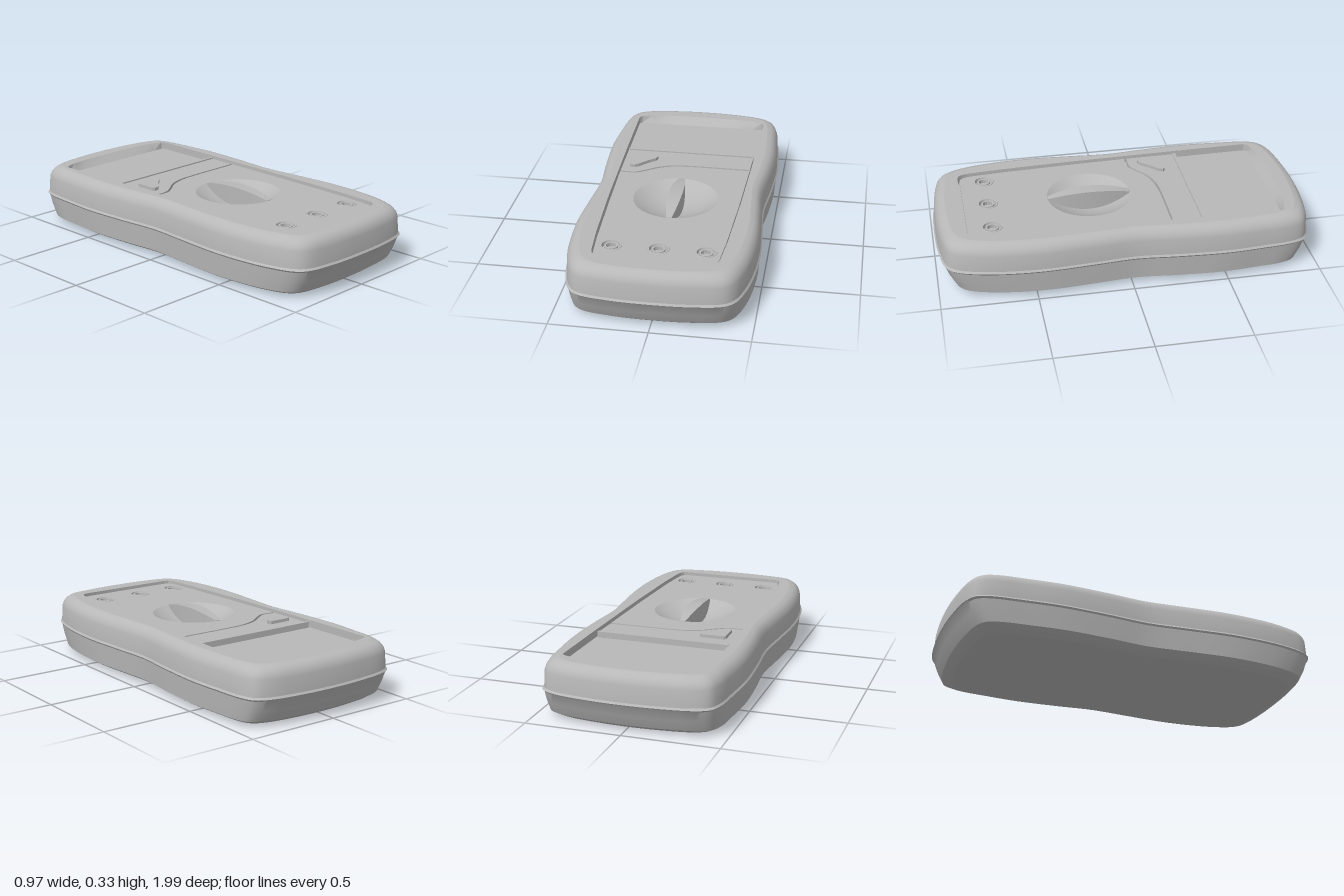
import * as THREE from 'three';
import { toCreasedNormals } from 'three/addons/utils/BufferGeometryUtils.js';

const TOP = 0.31, PANEL = 0.295, FLOOR = 0.27, KNOB_Z = 0.155, KNOB_R = 0.225;

// Right-hand half of an outline, back to front, completed by its mirror image
const mirror = (half) => [...half, ...half.slice(1, -1).reverse().map(([x, z]) => [-x, z])];

// Skin through closed rings of [x, y, z] points
function loft(rings) {
  const n = rings[0].length, index = [];
  for (let i = 0; i < rings.length - 1; i++) {
    for (let j = 0; j < n; j++) {
      const a = i * n + j, b = i * n + (j + 1) % n;
      index.push(a, a + n, b, b, a + n, b + n);
    }
  }
  const geo = new THREE.BufferGeometry();
  geo.setAttribute('position', new THREE.Float32BufferAttribute(rings.flat(2), 3));
  geo.setIndex(index);
  return toCreasedNormals(geo, 0.45);
}

// Shape lying in plan, drawn from [x, z] points
const toPath = (pts, Type = THREE.Shape) => new Type(pts.map(([x, z]) => new THREE.Vector2(x, -z)));
const circle = (x, z, r) => new THREE.Path().absarc(x, -z, r, 0, Math.PI * 2, true);
const flat = (shape, y) => new THREE.ShapeGeometry(shape, 32).rotateX(-Math.PI / 2).translate(0, y, 0);
const plate = (shape, y0, y1) => new THREE.ExtrudeGeometry(shape, { depth: y1 - y0, bevelEnabled: false, curveSegments: 32 })
  .rotateX(-Math.PI / 2).translate(0, y0, 0);
const lathe = (pts, segments) => toCreasedNormals(
  new THREE.LatheGeometry(pts.map(([r, y]) => new THREE.Vector2(r, y)), segments), 0.4);

export function createModel() {
  const group = new THREE.Group();
  const grey = new THREE.MeshStandardMaterial({ color: 0xb8b8b8 });
  grey.name = 'grey';
  const add = (name, geo, x = 0, y = 0, z = 0) => {
    const mesh = new THREE.Mesh(geo, grey);
    mesh.name = name;
    mesh.position.set(x, y, z);
    group.add(mesh);
  };

  // Waisted outer outline
  const outline = new THREE.CatmullRomCurve3(mirror([
    [0, -0.998], [0.2, -0.988], [0.36, -0.962], [0.43, -0.925], [0.46, -0.85], [0.475, -0.7],
    [0.487, -0.5], [0.475, -0.25], [0.456, -0.02], [0.47, 0.2], [0.485, 0.45], [0.475, 0.65],
    [0.45, 0.8], [0.41, 0.91], [0.36, 0.955], [0.2, 0.985], [0, 0.993],
  ]).map(([x, z]) => new THREE.Vector3(x, 0, z)), true).getPoints(160).slice(0, -1);
  const inset = (dx, dz) => outline.map((p) => [p.x * (1 - dx / 0.487), p.z * (1 - dz / 0.995)]);

  // Case walls: [height, side inset, end inset]
  const profile = [
    [0, 0.075, 0.115], [0.012, 0.045, 0.085], [0.03, 0.015, 0.06], [0.09, 0.01, 0.028], [0.146, 0.006, 0.008],
    [0.155, 0, 0], [0.165, 0.007, 0.007], [0.25, 0.011, 0.012], [0.272, 0.018, 0.018],
    [0.29, 0.03, 0.03], [0.303, 0.046, 0.046], [TOP, 0.07, 0.07],
  ];
  add('case', loft(profile.map(([y, dx, dz]) => inset(dx, dz).map(([x, z]) => [x, y, z]))));
  add('caseBase', flat(toPath(inset(0.075, 0.115)), 0).rotateZ(Math.PI));

  // Recessed opening, its back wall sloping and bowed
  const half = [
    [0, -0.82], [0.1, -0.82], [0.2, -0.82], [0.3, -0.82], [0.36, -0.82], [0.372, -0.805], [0.365, -0.4],
    [0.35, 0.2], [0.332, 0.6], [0.318, 0.77], [0.31, 0.81], [0.295, 0.83], [0.27, 0.838], [0, 0.838],
  ];
  const opening = mirror(half);
  const lip = opening.map(([x, z]) => [x, z < -0.815 ? z - 0.04 * (1 - (x / 0.37) ** 4) : z]);
  const rim = toPath(inset(0.07, 0.07));
  rim.holes.push(toPath(lip, THREE.Path));
  add('rim', flat(rim, TOP));
  add('recessWall', loft([lip.map(([x, z]) => [x, TOP, z]), opening.map(([x, z]) => [x, FLOOR, z])]));
  const floor = toPath(opening);
  floor.holes.push(circle(0, KNOB_Z, KNOB_R));
  add('displayFloor', flat(floor, FLOOR));

  // Face panel in two pieces, parted by a curved groove
  const groove = new THREE.CatmullRomCurve3([
    [-0.352, -0.118], [-0.27, -0.118], [-0.22, -0.145], [-0.15, -0.195], [-0.08, -0.222], [0, -0.232], [0.352, -0.232],
  ].map(([x, z]) => new THREE.Vector3(x, 0, z)), false, 'centripetal').getPoints(36).map((p) => [p.x, p.z]);
  add('upperPanel', plate(toPath([[0.356, -0.385], [-0.356, -0.385], ...groove]), FLOOR, PANEL));

  const side = half.filter(([x, z]) => z > 0 && x > 0).map(([x, z]) => [x * 0.975, z * 0.988]);
  const lower = toPath([
    ...groove.map(([x, z]) => [x, z + 0.015]), ...side, ...side.slice().reverse().map(([x, z]) => [-x, z]),
  ]);
  const jackXs = [-0.237, 0, 0.237], jackZ = 0.7;
  lower.holes.push(circle(0, KNOB_Z, KNOB_R), ...jackXs.map((x) => circle(x, jackZ, 0.05)));
  add('lowerPanel', plate(lower, FLOOR, PANEL));

  // Bar along the lower edge of the display
  add('displayBar', new THREE.BoxGeometry(0.712, 0.032, 0.016), 0, 0.286, -0.392);

  // Dished knob with a lens-shaped grip
  const dish = [];
  for (let i = 0; i <= 12; i++) {
    const r = 1 - i / 12;
    dish.push([r * KNOB_R, -0.07 * (1 - r * r)]);
  }
  add('knobDish', lathe(dish, 48), 0, PANEL, KNOB_Z);
  const grip = new THREE.BoxGeometry(2, 1, 2, 1, 1, 20);
  const pos = grip.attributes.position;
  for (let i = 0; i < pos.count; i++) {
    const t = pos.getZ(i), rise = 1 - t * t;
    pos.setXYZ(i, pos.getX(i) * (0.015 + 0.022 * rise),
      pos.getY(i) > 0 ? 0.297 + 0.032 * rise : 0.29 - 0.075 * rise, t * 0.223);
  }
  grip.computeVertexNormals();
  add('knobGrip', grip, 0, 0, KNOB_Z);

  // Probe sockets
  for (const x of jackXs) {
    add('socketRing', lathe([[0.056, 0.294], [0.054, 0.298], [0.046, 0.298], [0.042, 0.28], [0.03, 0.28]], 32), x, 0, jackZ);
    add('socketCore', lathe([[0.036, 0.28], [0.035, 0.295], [0.025, 0.295], [0.025, 0.275], [0, 0.275]], 12), x, 0, jackZ);
  }

  // Push button beside the display
  add('button', plate(toPath([
    [-0.3, -0.3], [-0.18, -0.3], [-0.17, -0.29], [-0.18, -0.265], [-0.215, -0.235],
    [-0.26, -0.185], [-0.28, -0.17], [-0.3, -0.17], [-0.31, -0.18], [-0.31, -0.29],
  ]), PANEL, 0.312));

  return group;
}
